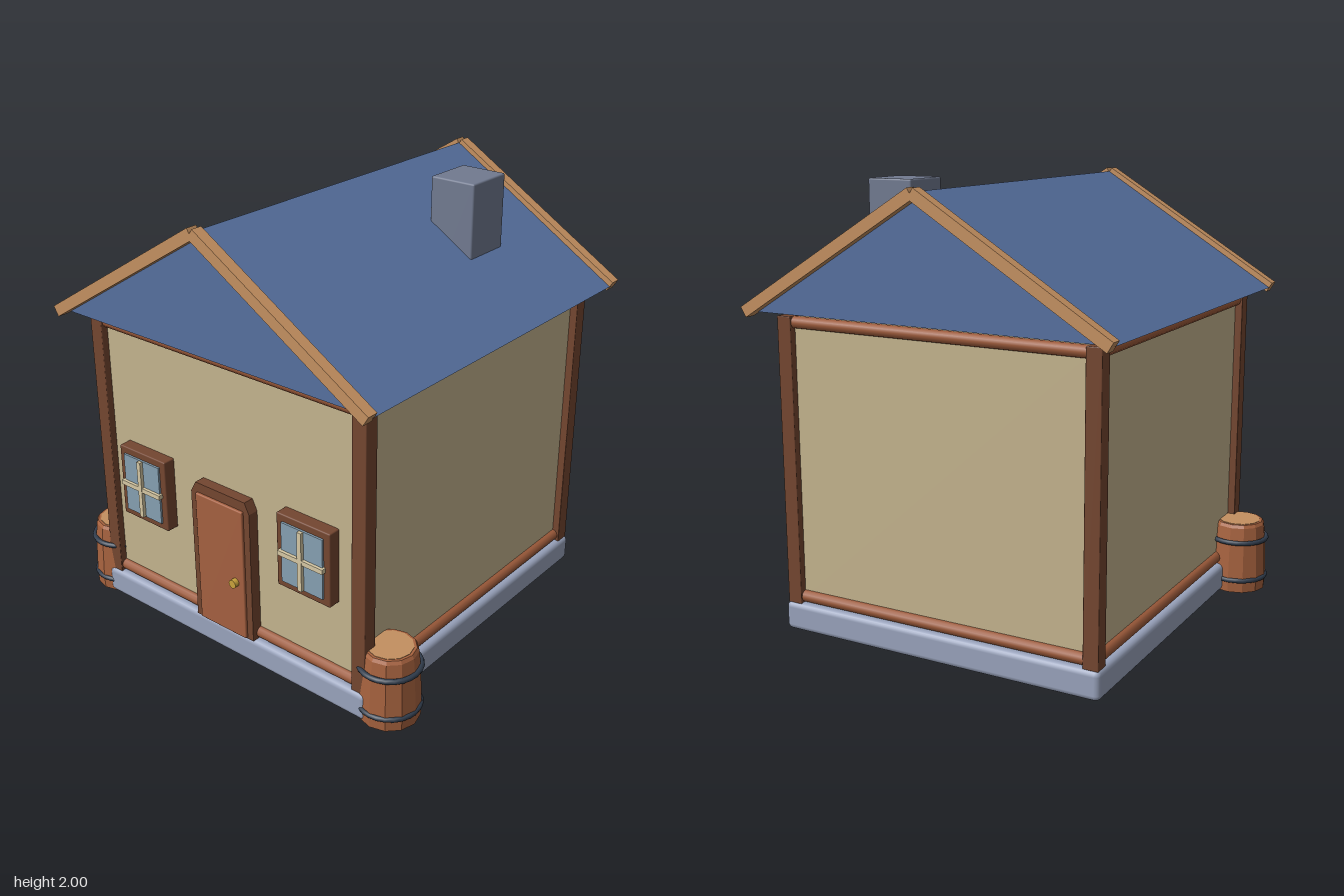
import * as THREE from 'three';
import { RoundedBoxGeometry } from 'three/addons/geometries/RoundedBoxGeometry.js';

const mat = (color, opts = {}) => {
  const m = new THREE.MeshStandardMaterial({ color });
  return Object.assign(m, opts);
};
const M = {
  stone: mat(0x99a3bc), chimney: mat(0x717a90), wall: mat(0xc4b48e), beam: mat(0x9c5a3a),
  post: mat(0x744630), roof: mat(0x56709f), trim: mat(0xc49060), door: mat(0xa56040),
  glass: mat(0x86a0b2), bar: mat(0xd6c8a4), brass: mat(0xc9a23c), hoop: mat(0x303c4c),
  stave: mat(0xa8633f, { flatShading: true }),
};

function add(parent, name, geometry, material, x = 0, y = 0, z = 0) {
  const mesh = new THREE.Mesh(geometry, material);
  mesh.name = name;
  mesh.position.set(x, y, z);
  parent.add(mesh);
  return mesh;
}

// Box given by its minimum and maximum corners, with optional rounded edges
function box(parent, name, material, [x0, y0, z0], [x1, y1, z1], r = 0) {
  const s = [x1 - x0, y1 - y0, z1 - z0];
  const g = r ? new RoundedBoxGeometry(...s, 2, r) : new THREE.BoxGeometry(...s);
  return add(parent, name, g, material, (x0 + x1) / 2, (y0 + y1) / 2, (z0 + z1) / 2);
}

// Extruded outline starting at depth z
function slab(parent, name, points, depth, z, material) {
  const shape = new THREE.Shape(points.map(p => new THREE.Vector2(...p)));
  return add(parent, name, new THREE.ExtrudeGeometry(shape, { depth, bevelEnabled: false }), material, 0, 0, z);
}

function makeWindow() {
  const g = new THREE.Group();
  g.name = 'window';
  // Four-sided frame around the pane
  for (const s of [-1, 1]) {
    box(g, 'windowFrameSide', M.post, [s * 0.124 - 0.018, -0.173, 0.75], [s * 0.124 + 0.018, 0.173, 0.833], 0.006);
    box(g, 'windowFrameRail', M.post, [-0.142, s * 0.155 - 0.018, 0.75], [0.142, s * 0.155 + 0.018, 0.833], 0.006);
  }
  box(g, 'windowPane', M.glass, [-0.11, -0.14, 0.75], [0.11, 0.14, 0.842]);
  box(g, 'windowMullion', M.bar, [-0.011, -0.138, 0.8], [0.011, 0.138, 0.858]);
  box(g, 'windowCrossbar', M.bar, [-0.12, -0.011, 0.8], [0.12, 0.011, 0.856]);
  return g;
}

function makeBarrel() {
  const g = new THREE.Group();
  g.name = 'barrel';
  const profile = [[0, 0], [0.133, 0], [0.136, 0.06], [0.128, 0.25], [0.121, 0.32], [0.112, 0.335], [0, 0.335]];
  add(g, 'barrelStaves', new THREE.LatheGeometry(profile.map(p => new THREE.Vector2(...p)), 12), M.stave);
  add(g, 'barrelLid', new THREE.CylinderGeometry(0.1, 0.1, 0.01, 12), M.trim, 0, 0.332, 0);
  for (const y of [0.06, 0.25]) {
    const hoop = add(g, 'barrelHoop', new THREE.TorusGeometry(0.132, 0.012, 8, 24), M.hoop, 0, y, 0);
    hoop.rotation.x = Math.PI / 2;
  }
  return g;
}

export function createModel() {
  const house = new THREE.Group();
  house.name = 'house';

  // Foundation and walls
  box(house, 'foundation', M.stone, [-0.78, 0, -0.82], [0.78, 0.13, 0.82], 0.025);
  box(house, 'walls', M.wall, [-0.735, 0.12, -0.775], [0.735, 1.42, 0.775]);

  // Corner posts
  for (const sx of [-1, 1]) for (const sz of [-1, 1]) {
    box(house, 'cornerPost', M.post,
      [sx * 0.735 - 0.035, 0.125, sz * 0.773 - 0.035], [sx * 0.735 + 0.035, 1.427, sz * 0.773 + 0.035], 0.004);
  }

  // Round beams along the top and bottom of every wall
  for (const y of [0.157, 1.4]) for (const s of [-1, 1]) {
    const along = add(house, 'wallBeam', new THREE.CylinderGeometry(0.027, 0.027, 1.47, 12), M.beam, 0, y, s * 0.775);
    along.rotation.z = Math.PI / 2;
    const across = add(house, 'wallBeam', new THREE.CylinderGeometry(0.027, 0.027, 1.55, 12), M.beam, s * 0.735, y, 0);
    across.rotation.x = Math.PI / 2;
  }

  // Gabled roof with sloping edge boards at both ends
  slab(house, 'roof', [[-0.855, 1.45], [0.855, 1.45], [0, 1.98]], 1.76, -0.88, M.roof);
  const slope = Math.atan2(0.525, 0.855);
  for (const sx of [-1, 1]) for (const sz of [-1, 1]) {
    const board = add(house, 'roofTrim', new THREE.BoxGeometry(1.003, 0.05, 0.052), M.trim,
      sx * 0.4275, 1.7135, sz * 0.896);
    board.rotation.z = -sx * slope;
  }
  box(house, 'chimney', M.chimney, [0.283, 1.43, -0.49], [0.503, 2, -0.25], 0.008);

  // Door in a frame with clipped top corners
  slab(house, 'doorFrame', [[-0.173, 0.13], [0.167, 0.13], [0.167, 0.765], [0.142, 0.815], [-0.145, 0.815], [-0.173, 0.765]],
    0.08, 0.745, M.post);
  box(house, 'door', M.door, [-0.138, 0.135, 0.75], [0.134, 0.77, 0.838], 0.006);
  const knob = add(house, 'doorKnob', new THREE.CylinderGeometry(0.02, 0.02, 0.03, 12), M.brass, 0.087, 0.41, 0.846);
  knob.rotation.x = Math.PI / 2;

  // Windows and barrels on both sides
  for (const s of [-1, 1]) {
    const win = makeWindow();
    win.position.set(s * 0.469, 0.673, 0);
    const barrel = makeBarrel();
    barrel.position.set(s * 0.812, 0, 0.692);
    house.add(win, barrel);
  }
  return house;
}
